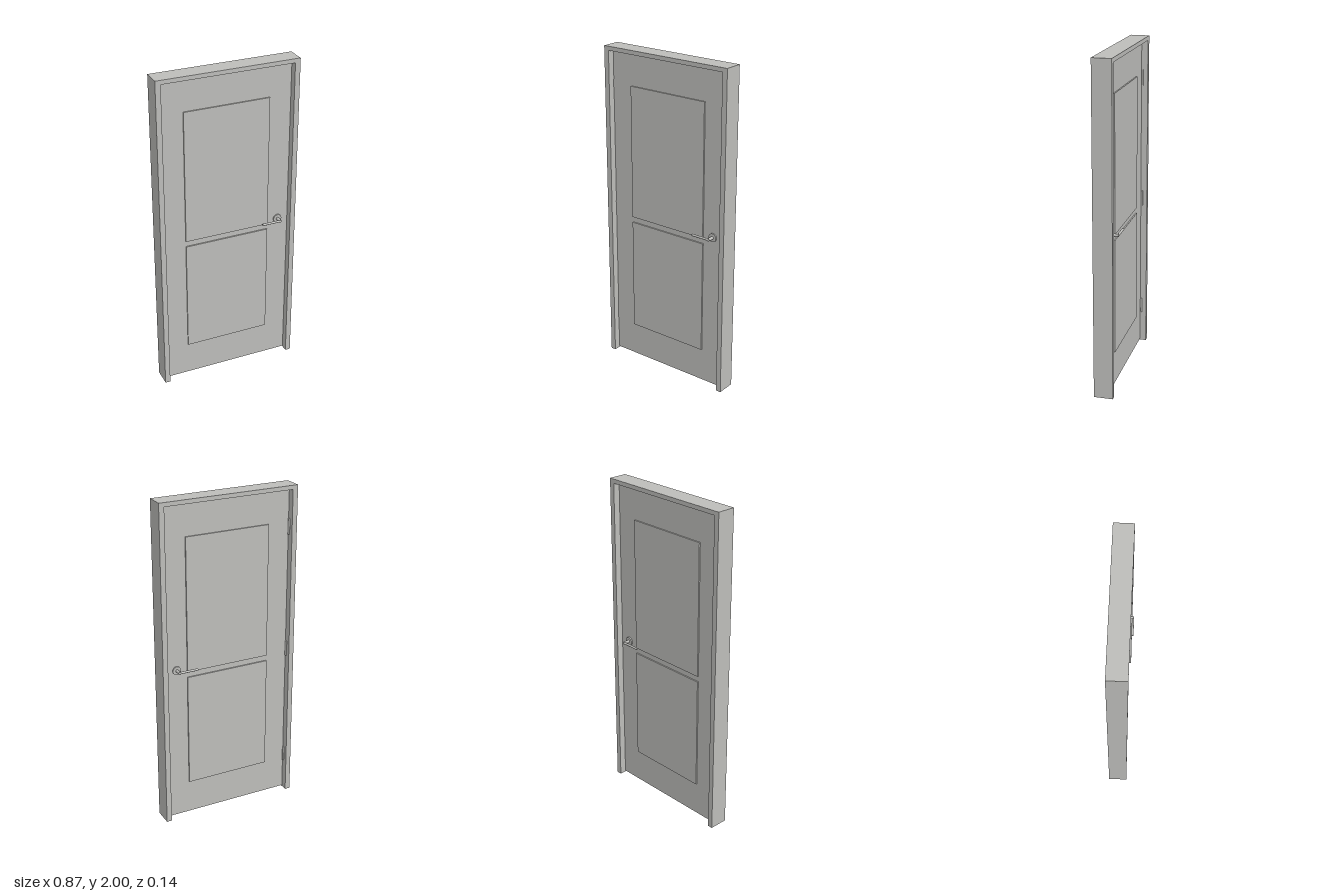
import * as THREE from 'three';

const paint = new THREE.MeshStandardMaterial({ color: 0xbdbdba });
paint.name = 'pale grey';

function add(parent, name, geometry, x = 0, y = 0, z = 0) {
  const mesh = new THREE.Mesh(geometry, paint);
  mesh.name = name;
  mesh.position.set(x, y, z);
  parent.add(mesh);
  return mesh;
}

// Box given by its x and y limits, depth and centre z
function slab(parent, name, x0, x1, y0, y1, depth, z = 0) {
  return add(parent, name, new THREE.BoxGeometry(x1 - x0, y1 - y0, depth),
    (x0 + x1) / 2, (y0 + y1) / 2, z);
}

// Lever handle facing +z: round plate, neck and lever
function leverHandle(doorFace) {
  const handle = new THREE.Group();
  const plateDepth = 0.008, neckEnd = 0.067, leverR = 0.0068, y = 0.982;
  const plate = add(handle, 'handlePlate',
    new THREE.CylinderGeometry(0.026, 0.026, plateDepth, 32), 0.333, y, doorFace + plateDepth / 2);
  plate.rotation.x = Math.PI / 2;
  const neck = add(handle, 'handleNeck',
    new THREE.CylinderGeometry(0.009, 0.009, neckEnd - doorFace, 24), 0.333, y, (neckEnd + doorFace) / 2);
  neck.rotation.x = Math.PI / 2;
  const lever = add(handle, 'handleLever',
    new THREE.CylinderGeometry(leverR, leverR, 0.118, 24), 0.275, y, 0.063);
  lever.rotation.z = Math.PI / 2;
  return handle;
}

export function createModel() {
  const model = new THREE.Group();
  model.name = 'door';
  const face = 0.0195;

  // Frame: one outline open at the bottom
  const w = 0.435, inner = 0.403, head = 1.975, depth = 0.115;
  const outline = new THREE.Shape([
    [-w, 0], [-inner, 0], [-inner, head], [inner, head], [inner, 0], [w, 0], [w, 2], [-w, 2],
  ].map(([x, y]) => new THREE.Vector2(x, y)));
  const frame = new THREE.ExtrudeGeometry(outline, { depth, bevelEnabled: false });
  add(model, 'frame', frame, 0, 0, -depth / 2);

  // Door leaf
  slab(model, 'doorLeaf', -0.4, 0.4, 0.01, 1.965, face * 2);

  // Raised panels and handles on both faces
  for (const side of [1, -1]) {
    for (const [name, y0, y1] of [['upperPanel', 0.96, 1.78], ['lowerPanel', 0.22, 0.925]]) {
      slab(model, name, -0.265, 0.265, y0, y1, 0.008, side * (face + 0.004));
    }
    const handle = leverHandle(face);
    handle.name = side > 0 ? 'frontHandle' : 'backHandle';
    if (side < 0) {
      // Turn round the lever's own axis so both levers point the same way
      handle.rotation.x = Math.PI;
      handle.position.y = 2 * 0.982;
    }
    model.add(handle);
  }

  // Hinges: leaf in the gap and knuckle at the back
  for (const y of [0.25, 0.982, 1.75]) {
    slab(model, 'hingeLeaf', -0.4028, -0.4002, y - 0.048, y + 0.048, 0.045, -0.004);
    add(model, 'hingeKnuckle', new THREE.CylinderGeometry(0.006, 0.006, 0.096, 20), -0.4, y, -0.026);
  }
  return model;
}
